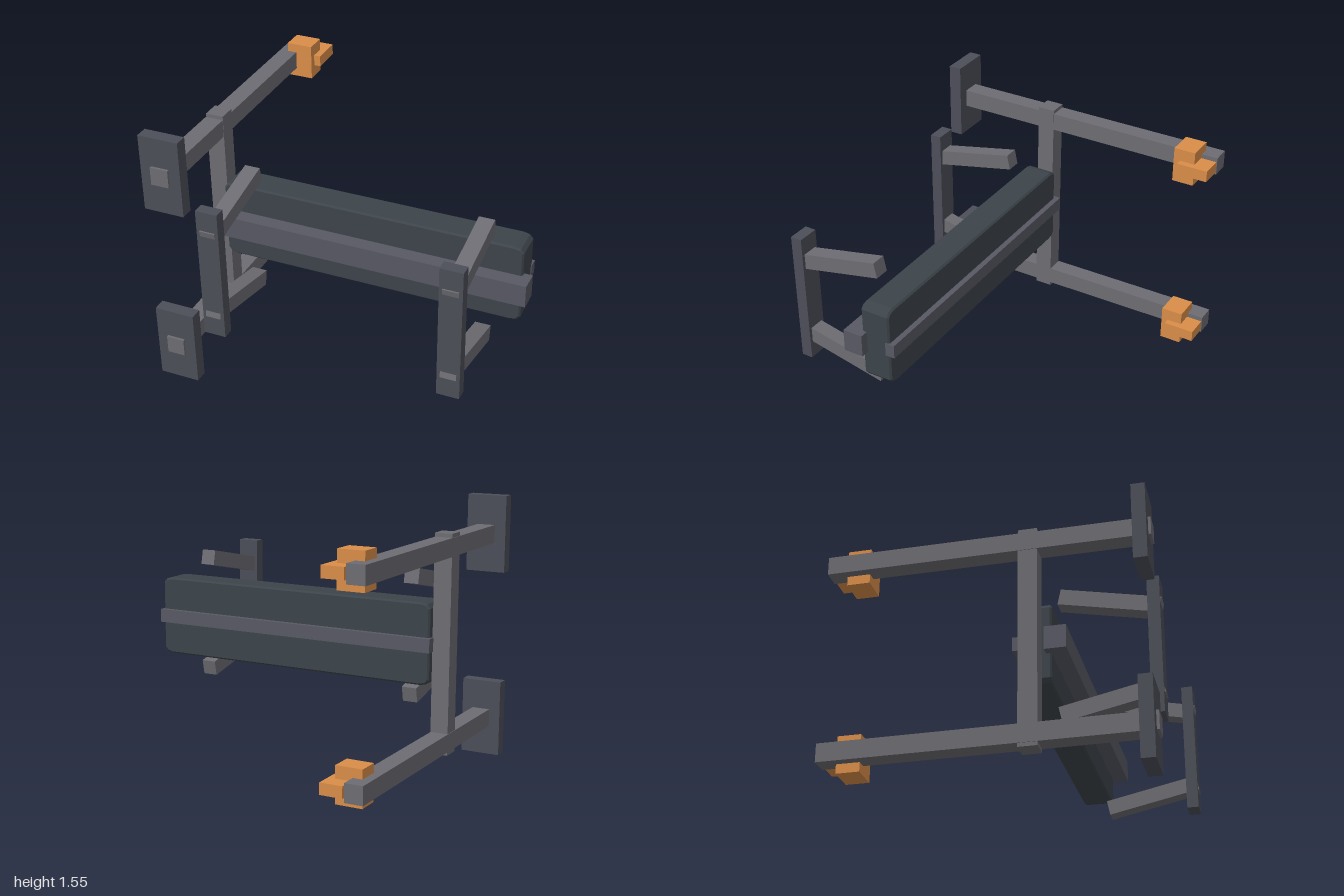
import * as THREE from 'three';

const paint = (color) => new THREE.MeshStandardMaterial({ color, flatShading: true });

export function createModel() {
  const model = new THREE.Group();
  const tube = paint(0x6c6c72), plate = paint(0x4c4e58), beam = paint(0x575863);
  const vinyl = paint(0x3c444a), orange = paint(0xd98d48);

  // Box given by its extents on each axis
  function box(name, material, [x0, x1], [y0, y1], [z0, z1], parent = model) {
    const mesh = new THREE.Mesh(new THREE.BoxGeometry(x1 - x0, y1 - y0, z1 - z0), material);
    mesh.position.set((x0 + x1) / 2, (y0 + y1) / 2, (z0 + z1) / 2);
    mesh.name = name;
    parent.add(mesh);
    return mesh;
  }

  // Two rack posts, each with a base plate and a bar hook
  for (const [side, y] of [['upper', 1.331], ['lower', 0.228]]) {
    const post = new THREE.Group();
    post.name = side + 'RackPost';
    model.add(post);
    const span = (h) => [y - h, y + h];
    box('post', tube, [-0.935, -0.83], span(0.052), [-0.885, 0.88], post);
    box('basePlate', plate, [-1, -0.765], span(0.223), [0.79, 0.865], post);
    box('hookBlock', orange, [-0.885, -0.73], span(0.104), [-0.79, -0.662], post);
    box('hookArm', orange, [-0.82, -0.69], span(0.033), [-0.885, -0.702], post);
  }
  box('crossbar', tube, [-0.932, -0.828], [0.155, 1.405], [0.172, 0.275]);

  // Bench pad: clipped-corner outline with a thin bevel
  const cx = 0.067, cy = 0.78, w = 0.875, h = 0.225, b = 0.01;
  const outline = [];
  for (const [sx, sy, flip] of [[1, 1, 0], [-1, 1, 1], [-1, -1, 0], [1, -1, 1]]) {
    const corner = [
      new THREE.Vector2(sx * w, sy * (h - 0.025)),
      new THREE.Vector2(sx * (w - 0.015), sy * (h - 0.007)),
      new THREE.Vector2(sx * (w - 0.045), sy * h),
    ];
    outline.push(...(flip ? corner.reverse() : corner));
  }
  const pad = new THREE.Mesh(new THREE.ExtrudeGeometry(new THREE.Shape(outline), {
    depth: 0.155, bevelEnabled: true, bevelSize: b, bevelThickness: b, bevelSegments: 1,
  }), vinyl);
  pad.position.set(cx, cy, 0.16);
  pad.name = 'benchPad';
  model.add(pad);

  // Rails on either face of the pad
  box('frontRail', beam, [-0.87, 1], [0.714, 0.845], [0.295, 0.412]);
  box('backRail', beam, [-0.833, 0.957], [0.741, 0.82], [0.118, 0.174]);

  // Bench feet, each with a pair of slanted legs
  for (const [side, x] of [['right', -0.621], ['left', 0.747]]) {
    const foot = new THREE.Group();
    foot.name = side + 'BenchFoot';
    model.add(foot);
    box('footPlate', plate, [x - 0.064, x + 0.064], [0.385, 1.175], [0.81, 0.877], foot);
    for (const s of [1, -1]) {
      const leg = new THREE.Mesh(new THREE.BoxGeometry(0.09, 0.09, 0.552), tube);
      leg.position.set(x, 0.78 + s * 0.29, 0.605);
      leg.rotation.x = s * 0.21;
      leg.name = s > 0 ? 'upperLeg' : 'lowerLeg';
      foot.add(leg);
    }
  }
  return model;
}
